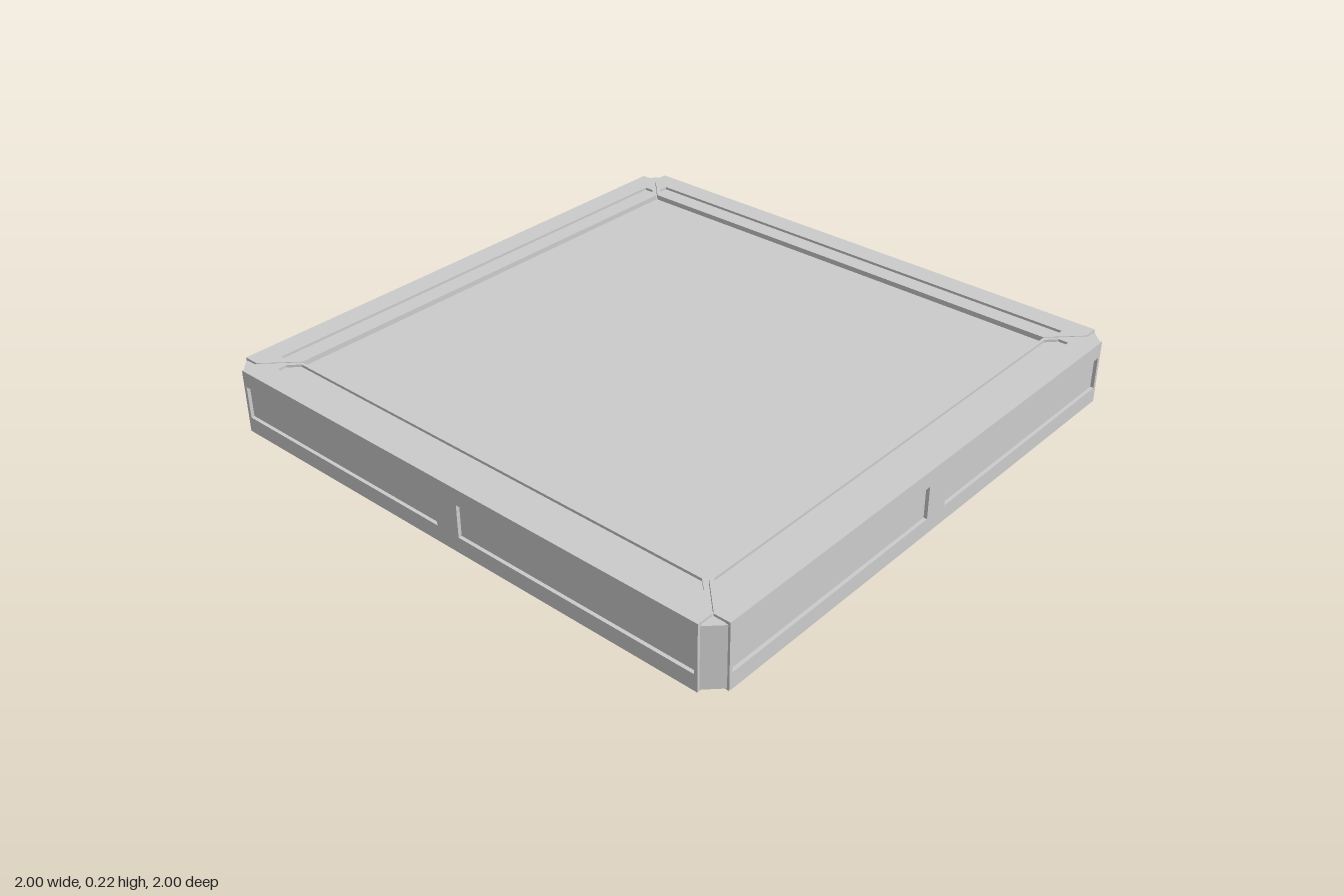
import * as THREE from 'three';

const H = 0.224;      // overall height
const CUT = 0.945;    // where the corner notch starts
const LIP = 0.018;    // how far the rails stand above the centre panel

const grey = new THREE.MeshStandardMaterial({ color: 0xcccccc, flatShading: true });

const toPoints = (pts) => pts.map(([x, y]) => new THREE.Vector2(x, y));

function outline(pts, holes = []) {
  const shape = new THREE.Shape(toPoints(pts));
  for (const hole of holes) shape.holes.push(new THREE.Path(toPoints(hole)));
  return shape;
}

function mesh(name, geometry) {
  const m = new THREE.Mesh(geometry, grey);
  m.name = name;
  return m;
}

// Horizontal plate: shape points are (x, z), spanning y0 to y1
function plate(name, pts, y0, y1, holes) {
  const geo = new THREE.ExtrudeGeometry(outline(pts, holes), { depth: y1 - y0, bevelEnabled: false });
  geo.rotateX(Math.PI / 2).translate(0, y1, 0);
  return mesh(name, geo);
}

// Complete a half outline (x > 0) by mirroring it in x
const mirrorX = (half) => [...half, ...half.map(([x, y]) => [-x, y]).reverse()];

// One edge of the tile, facing +z, with the corner post at its left end
function createSide() {
  const side = new THREE.Group();
  side.name = 'side';

  const rail = mirrorX([[0.84, 0.843], [CUT - 0.003, CUT], [CUT - 0.003, 1]]);
  const inset = mirrorX([[0.83, 0.853], [0.865, 0.886], [0.865, 0.92]]);

  // Mitred rails above and below, each with a sunk trapezoid panel
  side.add(
    plate('topRail', rail, H - LIP, H, [inset]),
    plate('topRailInset', inset, H - LIP - 0.002, H - 0.009),
    plate('bottomRail', rail, 0, LIP, [inset]),
    plate('bottomRailInset', inset, 0.009, LIP + 0.002),
  );

  // Outer face with two long recesses either side of a central divider
  const y0 = LIP, y1 = H - LIP, w = CUT - 0.003;
  const recess = (s) => [[0.045 * s, 0.055], [0.93 * s, 0.055], [0.93 * s, 0.168], [0.045 * s, 0.168]];
  const face = new THREE.ExtrudeGeometry(
    outline([[-w, y0], [w, y0], [w, y1], [-w, y1]], [recess(1), recess(-1)]),
    { depth: 0.03, bevelEnabled: false },
  );
  face.translate(0, 0, 0.97);
  side.add(mesh('outerFace', face));

  // Chamfered post filling the corner notch
  side.add(plate('cornerPost', [[0.93, 0.93], [0.995, CUT], [CUT, 0.995]], 0.008, H - 0.008));
  return side;
}

export function createModel() {
  const model = new THREE.Group();
  model.name = 'floorTile';

  // Solid core: its top and bottom are the large centre panels
  const a = 0.988, c = 0.94;
  const octagon = [[c, a], [a, c], [a, -c], [c, -a], [-c, -a], [-a, -c], [-a, c], [-c, a]];
  model.add(plate('centrePanel', octagon, LIP, H - LIP));

  for (let i = 0; i < 4; i++) {
    const side = createSide();
    side.rotation.y = (i * Math.PI) / 2;
    model.add(side);
  }
  return model;
}
